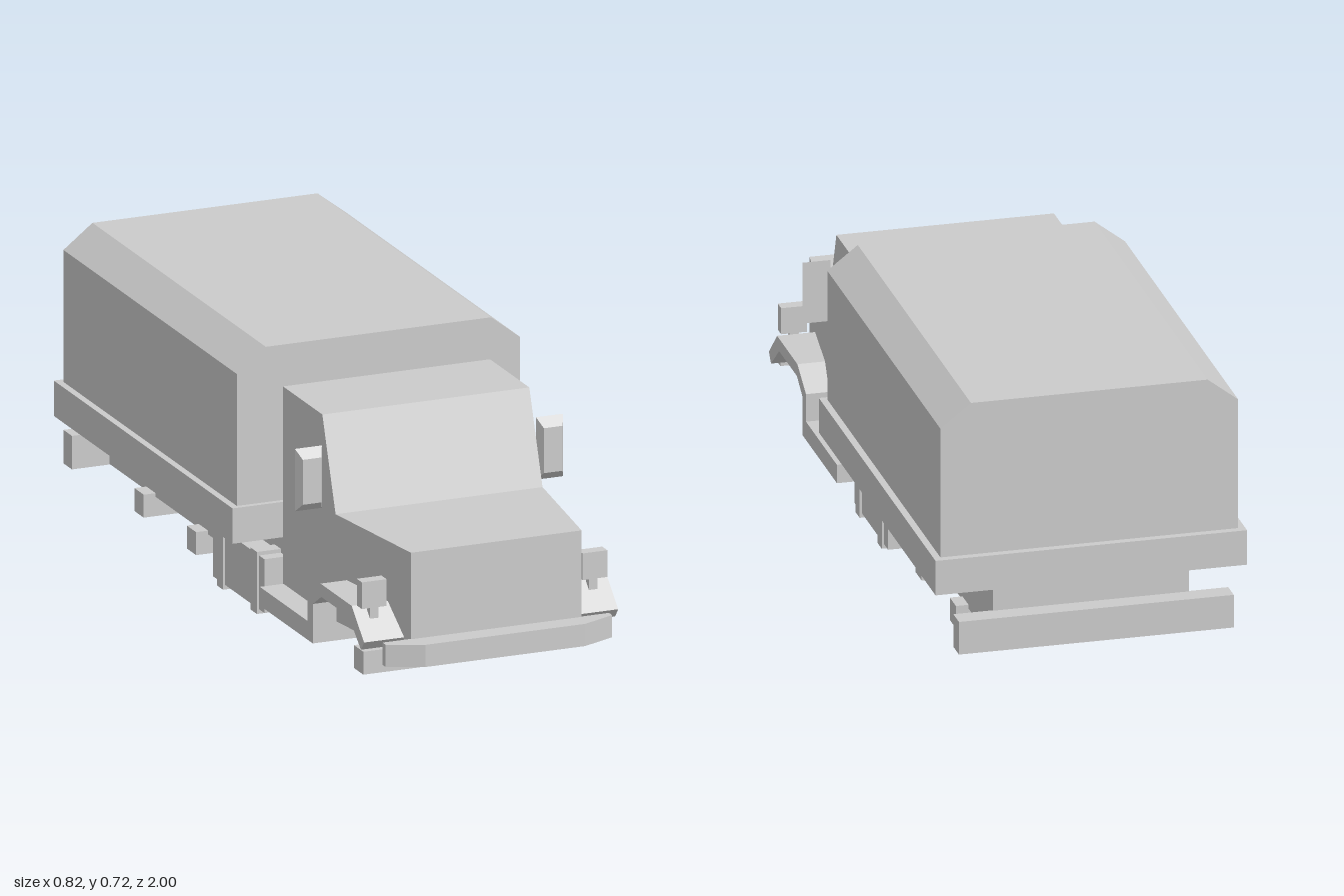
import * as THREE from 'three';

const material = new THREE.MeshStandardMaterial({ color: 0xcccccc, flatShading: true });

export function createModel() {
  const group = new THREE.Group();
  group.name = 'truck';

  const add = (name, geometry) => {
    const mesh = new THREE.Mesh(geometry, material);
    mesh.name = name;
    group.add(mesh);
    return mesh;
  };
  // box given by its bounds
  const box = (name, x0, x1, y0, y1, z0, z1) =>
    add(name, new THREE.BoxGeometry(x1 - x0, y1 - y0, z1 - z0)
      .translate((x0 + x1) / 2, (y0 + y1) / 2, (z0 + z1) / 2));
  const prism = (points, depth) => new THREE.ExtrudeGeometry(
    new THREE.Shape(points.map(([u, v]) => new THREE.Vector2(u, v))),
    { depth, bevelEnabled: false });
  // profile of (z, y) points, swept from x0 to x1
  const sideProfile = (name, points, x0, x1) =>
    add(name, prism(points, x1 - x0).rotateY(-Math.PI / 2).translate(x1, 0, 0));
  // outline of (x, z) points, swept from y0 to y1
  const plan = (name, points, y0, y1) =>
    add(name, prism(points, y1 - y0).rotateX(Math.PI / 2).translate(0, y1, 0));

  // covered load bed with chamfered roof
  add('cargoCover', prism([
    [-0.39, 0.3], [0.39, 0.3], [0.39, 0.655], [0.31, 0.717], [-0.31, 0.717], [-0.39, 0.655],
  ], 1.115).translate(0, 0, -0.93));
  box('cargoBed', -0.408, 0.408, 0.21, 0.304, -0.95, 0.2);

  // chassis
  box('rearChassis', -0.257, 0.257, 0.065, 0.303, -0.948, 0.237);
  box('frontChassis', -0.225, 0.225, 0.063, 0.2, 0.2, 0.835);
  box('rearBumper', -0.36, 0.36, 0.063, 0.152, -1, -0.945);

  // cab and tapering hood
  sideProfile('cab', [
    [0.237, 0.055], [0.56, 0.055], [0.575, 0.384], [0.49, 0.624], [0.237, 0.624],
  ], -0.285, 0.285);
  plan('hood', [
    [-0.285, 0.5], [0.285, 0.5], [0.285, 0.575], [0.235, 0.943], [-0.235, 0.943], [-0.285, 0.575],
  ], 0.1, 0.384);
  plan('frontBumper', [
    [-0.312, 0.94], [0.312, 0.94], [0.312, 0.96], [0.22, 1], [-0.22, 1], [-0.312, 0.96],
  ], 0.095, 0.154);

  // axles
  for (const z of [0.735, -0.34, -0.677]) {
    box('axle', -0.29, 0.29, 0.014, 0.075, z - 0.03, z + 0.03);
  }

  // paired parts
  const fender = [
    [0.91, 0.15], [0.83, 0.224], [0.63, 0.224], [0.545, 0.175], [0.545, 0.1], [0.24, 0.1],
    [0.24, 0.05], [0.58, 0.05], [0.58, 0.155], [0.635, 0.19], [0.81, 0.19], [0.89, 0.125],
  ];
  for (const s of [-1, 1]) {
    const side = s > 0 ? 'left' : 'right';
    const pair = (name, xa, xb, ...rest) =>
      box(side + name, Math.min(s * xa, s * xb), Math.max(s * xa, s * xb), ...rest);

    sideProfile(side + 'FenderAndStep', fender, s > 0 ? 0.225 : -0.35, s > 0 ? 0.35 : -0.225);

    // headlight on its stalk
    pair('Headlight', 0.27, 0.338, 0.225, 0.296, 0.835, 0.868);
    pair('HeadlightStalk', 0.29, 0.313, 0.19, 0.23, 0.842, 0.862);

    // fuel tank with two straps
    pair('FuelTank', 0.23, 0.317, 0.012, 0.155, -0.14, 0.192);
    for (const z of [0.138, -0.08]) {
      pair('TankStrap', 0.228, 0.323, 0, 0.165, z - 0.02, z + 0.02);
    }

    // mirror, narrowing towards the front
    const mirror = new THREE.BoxGeometry(0.074, 0.166, 0.025);
    const p = mirror.attributes.position;
    for (let i = 0; i < p.count; i++) {
      if (p.getZ(i) > 0) p.setXY(i, p.getX(i) * 0.7, p.getY(i) * 0.72);
    }
    mirror.computeVertexNormals();
    add(side + 'Mirror', mirror.translate(s * 0.332, 0.466, 0.522));
  }
  return group;
}
